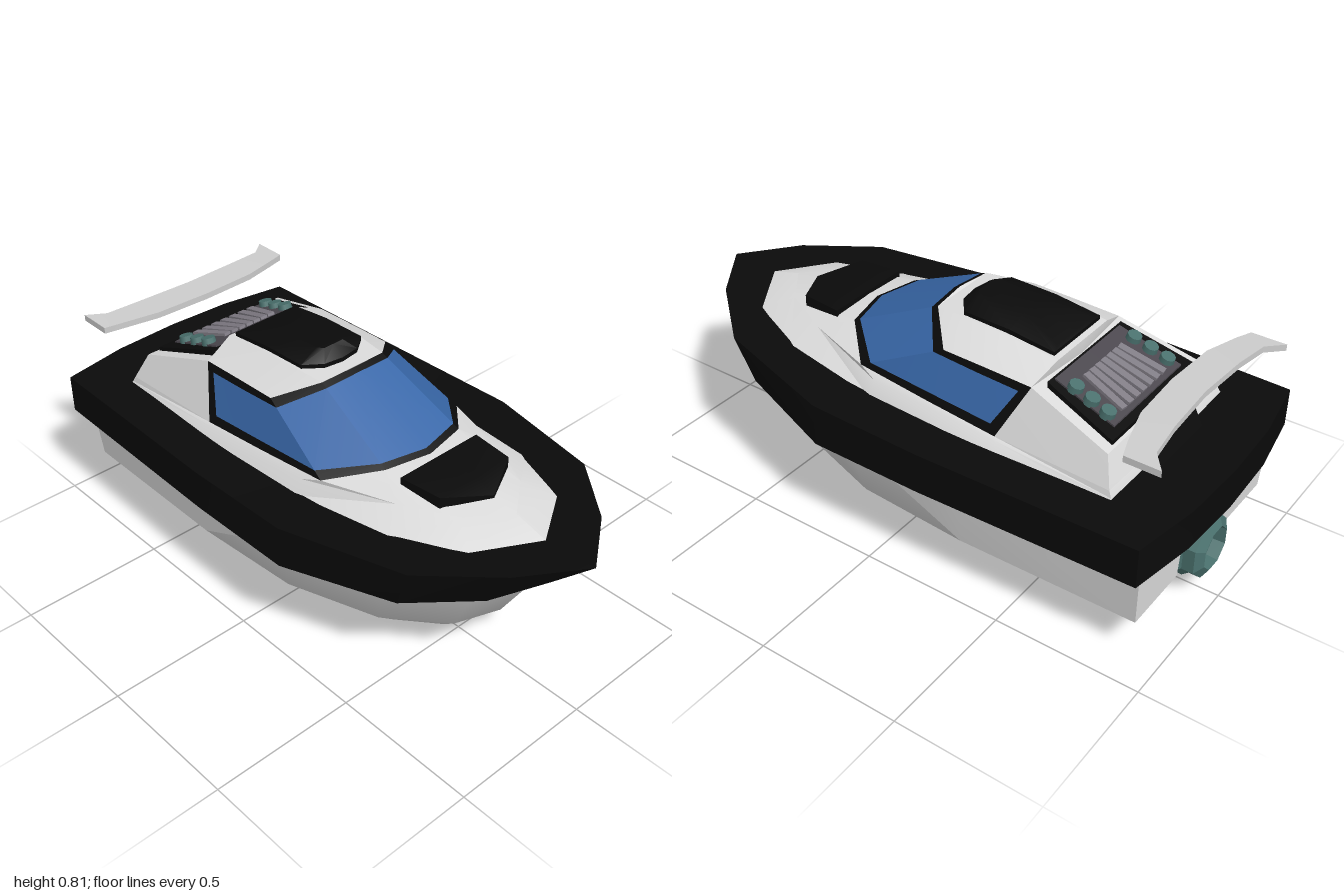
import * as THREE from 'three';
import { toCreasedNormals } from 'three/addons/utils/BufferGeometryUtils.js';

const mat = (name, color) => new THREE.MeshStandardMaterial({ name, color, side: THREE.DoubleSide });

// Skin between rows of [x, y, z] points on the +x half, mirrored to -x.
// Points run from bow to stern, rows run from bottom to top or outside to inside.
function skin(name, material, rows, crease = 0.35) {
  const pos = [];
  const tri = (...pts) => {
    const [a, b, c] = pts.map((p) => new THREE.Vector3(...p));
    if (b.clone().sub(a).cross(c.clone().sub(a)).length() < 1e-7) return;
    pos.push(...a.toArray(), ...b.toArray(), ...c.toArray());
  };
  for (const side of [1, -1]) {
    const m = ([x, y, z]) => [x * side, y, z];
    for (let v = 0; v < rows.length - 1; v++) {
      for (let u = 0; u < rows[v].length - 1; u++) {
        const a = m(rows[v][u]), b = m(rows[v][u + 1]);
        const c = m(rows[v + 1][u + 1]), d = m(rows[v + 1][u]);
        if (side > 0) { tri(a, b, d); tri(b, c, d); } else { tri(a, d, b); tri(b, d, c); }
      }
    }
  }
  const geo = new THREE.BufferGeometry();
  geo.setAttribute('position', new THREE.Float32BufferAttribute(pos, 3));
  const mesh = new THREE.Mesh(toCreasedNormals(geo, crease), material);
  mesh.name = name;
  return mesh;
}

const cap = (row) => row.map(([, y, z]) => [0, y, z]);
const mix = (a, b, t) => a.map((v, i) => v + (b[i] - v) * t);

// Flat plate from a half outline of [x, z], with heights given by functions of z.
function plate(name, material, outline, bottom, top) {
  const low = outline.map(([x, z]) => [x, bottom(z), z]);
  const high = outline.map(([x, z]) => [x, top(z), z]);
  return skin(name, material, [low, high, cap(high)]);
}

export function createModel() {
  const boat = new THREE.Group();
  boat.name = 'motorBoat';
  const white = mat('whitePaint', 0xdcdcdc);
  const black = mat('blackTrim', 0x0a0a0a);
  const blue = mat('blueGlass', 0x3867a8);
  const teal = mat('tealMetal', 0x4a716e);
  const grey = mat('darkGreyPanel', 0x4c484f);
  const slatGrey = mat('greySlats', 0x817d86);
  const wingGrey = mat('lightGreyWing', 0xcdcdcd);

  // Hull: keel to gunwale, with a flat transom beside a central drive slot
  const keel = [[0, 0.025, 0.49], [0, 0.02, 0.44], [0, 0.015, 0.35], [0, 0.008, 0.05], [0, 0, -0.58]];
  const bilge = [[0, 0.028, 0.495], [0.05, 0.035, 0.46], [0.1, 0.04, 0.36], [0.14, 0.04, 0.05], [0.15, 0.035, -0.58], [0.15, 0.03, -0.85]];
  const chine = [[0, 0.095, 0.57], [0.1, 0.095, 0.53], [0.2, 0.09, 0.4], [0.27, 0.085, 0.1], [0.28, 0.08, -0.3], [0.28, 0.08, -0.88]];
  const flank = [[0, 0.19, 0.67], [0.14, 0.18, 0.61], [0.29, 0.17, 0.42], [0.385, 0.157, 0.1], [0.41, 0.155, -0.3], [0.4, 0.15, -0.92]];
  const gunwale = [[0, 0.42, 0.81], [0.18, 0.41, 0.72], [0.34, 0.39, 0.49], [0.42, 0.37, 0.15], [0.43, 0.36, -0.3], [0.42, 0.36, -0.93]];
  boat.add(skin('hull', white, [bilge, chine, flank, gunwale], 0.9));
  boat.add(skin('keelPlate', white, [keel, bilge.slice(0, 5)], 0.9));
  const edge = [bilge, chine, flank, gunwale].map((r) => r[5]);
  boat.add(skin('transom', white, edge.map((p) => [p, [0.15, p[1], p[2]]])));
  boat.add(skin('driveSlotSides', white, edge.map(([, y, z]) => [[0.15, y, z], [0.15, y, -0.8]])));
  boat.add(skin('driveTunnel', white, [
    [[0.15, 0.035, -0.58], [0.15, 0.03, -0.85]], [[0.15, 0.035, -0.58], [0.15, 0.08, -0.8]],
    [[0, 0.035, -0.58], [0, 0.08, -0.8]]]));
  boat.add(skin('driveSlotBack', white, [
    [[0.15, 0.03, -0.8], [0, 0.03, -0.8]], [[0.15, 0.36, -0.8], [0, 0.36, -0.8]]]));
  boat.add(skin('tunnelStep', white, [[[0.15, 0.035, -0.58], [0, 0, -0.58]], [[0.15, 0.035, -0.58], [0, 0.035, -0.58]]]));

  // Black bumper around the deck, closed above and below
  const bandIn = [[0, 0.395, 0.79], [0.18, 0.39, 0.71], [0.34, 0.365, 0.49], [0.43, 0.34, 0.15], [0.435, 0.33, -0.3], [0.43, 0.32, -0.93], [0.2, 0.32, -0.94], [0, 0.32, -0.94]];
  const bandLow = [[0, 0.42, 0.85], [0.19, 0.41, 0.77], [0.37, 0.385, 0.58], [0.5, 0.365, 0.2], [0.5, 0.36, -0.2], [0.48, 0.36, -0.95], [0.24, 0.36, -0.99], [0, 0.36, -1]];
  const bandTop = [[0, 0.57, 1], [0.2, 0.563, 0.86], [0.39, 0.543, 0.64], [0.5, 0.512, 0.2], [0.5, 0.5, -0.2], [0.48, 0.495, -0.95], [0.24, 0.495, -0.99], [0, 0.495, -1]];
  boat.add(skin('bumper', black, [cap(bandIn), bandIn, bandLow, bandTop, cap(bandTop)]));

  // Cabin: deck edge, foredeck, window base and roof edge
  const deck = [[0, 0.555, 0.83], [0.2, 0.545, 0.7], [0.31, 0.522, 0.47], [0.35, 0.502, 0.1], [0.36, 0.488, -0.38], [0.345, 0.485, -0.78], [0, 0.485, -0.785]];
  const fore = [[0, 0.59, 0.7], [0.13, 0.588, 0.6], [0.22, 0.582, 0.42], [0.32, 0.55, 0.1], [0.33, 0.523, -0.37], [0.335, 0.5, -0.775], [0, 0.5, -0.78]];
  const sill = [[0, 0.62, 0.345], [0.16, 0.618, 0.31], [0.3, 0.572, 0.17], [0.312, 0.55, -0.1], [0.32, 0.53, -0.36], [0.33, 0.52, -0.765], [0, 0.52, -0.77]];
  const eave = [[0, 0.775, 0], [0.13, 0.768, -0.01], [0.25, 0.71, -0.12], [0.25, 0.706, -0.27], [0.25, 0.7, -0.44], [0.29, 0.61, -0.73], [0, 0.61, -0.73]];
  const crown = [eave[0], eave[1], [0.14, 0.772, -0.12], [0.14, 0.765, -0.27], [0.14, 0.745, -0.46]];
  boat.add(skin('cabinBase', white, [deck, fore, sill]));
  boat.add(skin('cabinAft', white, [sill.slice(4), eave.slice(4)]));
  boat.add(skin('roof', white, [eave.slice(0, 5), crown, cap(crown)]));
  boat.add(skin('roofRear', white, [
    [eave[4], [0, 0.7, -0.46]], [crown[4], [0, 0.745, -0.46]]]));
  boat.add(skin('aftDeck', white, [eave.slice(4), cap(eave.slice(4))]));

  // Wraparound window with its frame
  const split = (r) => [...r.slice(0, 4), mix(r[3], r[4], 0.85), r[4]];
  const low = split(sill), high = split(eave);
  const glassLow = low.map((p, i) => mix(p, high[i], [0.06, 0.07, 0.12, 0.15, 0.16, 0.16][i]));
  const glassHigh = low.map((p, i) => mix(p, high[i], [0.94, 0.93, 0.88, 0.86, 0.86, 0.86][i]));
  boat.add(skin('windowFrameLower', black, [low, glassLow]));
  boat.add(skin('windowFrameUpper', black, [glassHigh, high]));
  boat.add(skin('windowFrameRear', black, [glassLow.slice(4), glassHigh.slice(4)]));
  boat.add(skin('windowGlass', blue, [glassLow.slice(0, 5), glassHigh.slice(0, 5)]));

  // Hatches on the foredeck and the roof
  boat.add(plate('foredeckHatch', black, [[0, 0.61], [0.15, 0.53], [0.165, 0.38], [0, 0.38]],
    () => 0.58, (z) => (z > 0.55 ? 0.608 : 0.63)));
  const hatchBase = [[0, 0.76, -0.055], [0.07, 0.76, -0.065], [0.13, 0.76, -0.11], [0.13, 0.755, -0.28], [0.13, 0.735, -0.44], [0, 0.735, -0.44]];
  const hatchRim = hatchBase.map(([x, y, z]) => [x, y + 0.025, z]);
  const hatchTop = [[0, 0.815, -0.1], [0.04, 0.815, -0.1], [0.055, 0.815, -0.12], [0.055, 0.802, -0.28], [0.1, 0.765, -0.43], [0, 0.765, -0.43]];
  boat.add(skin('roofHatch', black, [hatchBase, hatchRim, hatchTop, cap(hatchTop)]));

  // Sloping engine bay with grille slats and exhaust pots
  const slope = 0.09 / 0.27;
  const bayY = (offset) => (z) => 0.7 + (z + 0.46) * slope + offset;
  boat.add(plate('engineBayFrame', black, [[0, -0.47], [0.21, -0.47], [0.25, -0.72], [0, -0.72]], bayY(-0.01), bayY(0.014)));
  boat.add(plate('engineBayPanel', grey, [[0, -0.48], [0.185, -0.48], [0.2, -0.695], [0, -0.695]], bayY(0), bayY(0.02)));
  for (let i = -3; i <= 3; i++) {
    const slat = new THREE.Mesh(new THREE.BoxGeometry(0.026, 0.016, 0.16), slatGrey);
    slat.name = 'grilleSlat';
    slat.position.set(i * 0.036, bayY(0.022)(-0.605), -0.605);
    slat.rotation.set(-Math.atan(slope), -i * 0.05, 0, 'XYZ');
    boat.add(slat);
  }
  for (const side of [1, -1]) {
    for (let i = 0; i < 3; i++) {
      const z = -0.54 - i * 0.058;
      const pot = new THREE.Mesh(new THREE.CylinderGeometry(0.024, 0.028, 0.04, 10), teal);
      pot.name = 'exhaustPot';
      pot.position.set(side * (0.168 + i * 0.004), bayY(0.018)(z), z);
      pot.rotation.x = -Math.atan(slope);
      boat.add(pot);
    }
  }

  // Black panel on the back of the cabin
  const rear = new THREE.Mesh(new THREE.BoxGeometry(0.27, 0.1, 0.035), black);
  rear.name = 'rearPanel';
  rear.position.set(0, 0.537, -0.778);
  rear.rotation.x = 0.5;
  boat.add(rear);

  // Curved rear wing: stations of x, front z, back z, height
  const wing = [[0, -0.765, -0.875, 0.713], [0.2, -0.775, -0.885, 0.711], [0.33, -0.81, -0.9, 0.705], [0.39, -0.83, -0.95, 0.7]];
  const line = (k, dy) => wing.map((s) => [s[0], s[3] + dy, s[k]]);
  const [ft, fb, bt, bb] = [line(1, 0.011), line(1, -0.011), line(2, 0.011), line(2, -0.011)];
  boat.add(skin('rearWing', wingGrey, [fb, ft, bt, bb, fb]));
  boat.add(skin('rearWingTips', wingGrey, [[fb[3], bb[3]], [ft[3], bt[3]]]));

  // Octagonal jet nozzle at the stern
  const profile = [[0, -0.02], [0.09, -0.02], [0.125, 0.06], [0.125, 0.09], [0.11, 0.11], [0.11, 0.15], [0.075, 0.17], [0.07, 0.13], [0.05, 0.13], [0, 0.12]];
  const nozzleGeo = new THREE.LatheGeometry(profile.map(([r, h]) => new THREE.Vector2(r, h)), 8, Math.PI / 8);
  const nozzle = new THREE.Mesh(toCreasedNormals(nozzleGeo, 0.3), teal);
  nozzle.name = 'jetNozzle';
  nozzle.rotation.x = -Math.PI / 2;
  nozzle.position.set(0, 0.18, -0.8);
  boat.add(nozzle);

  return boat;
}
